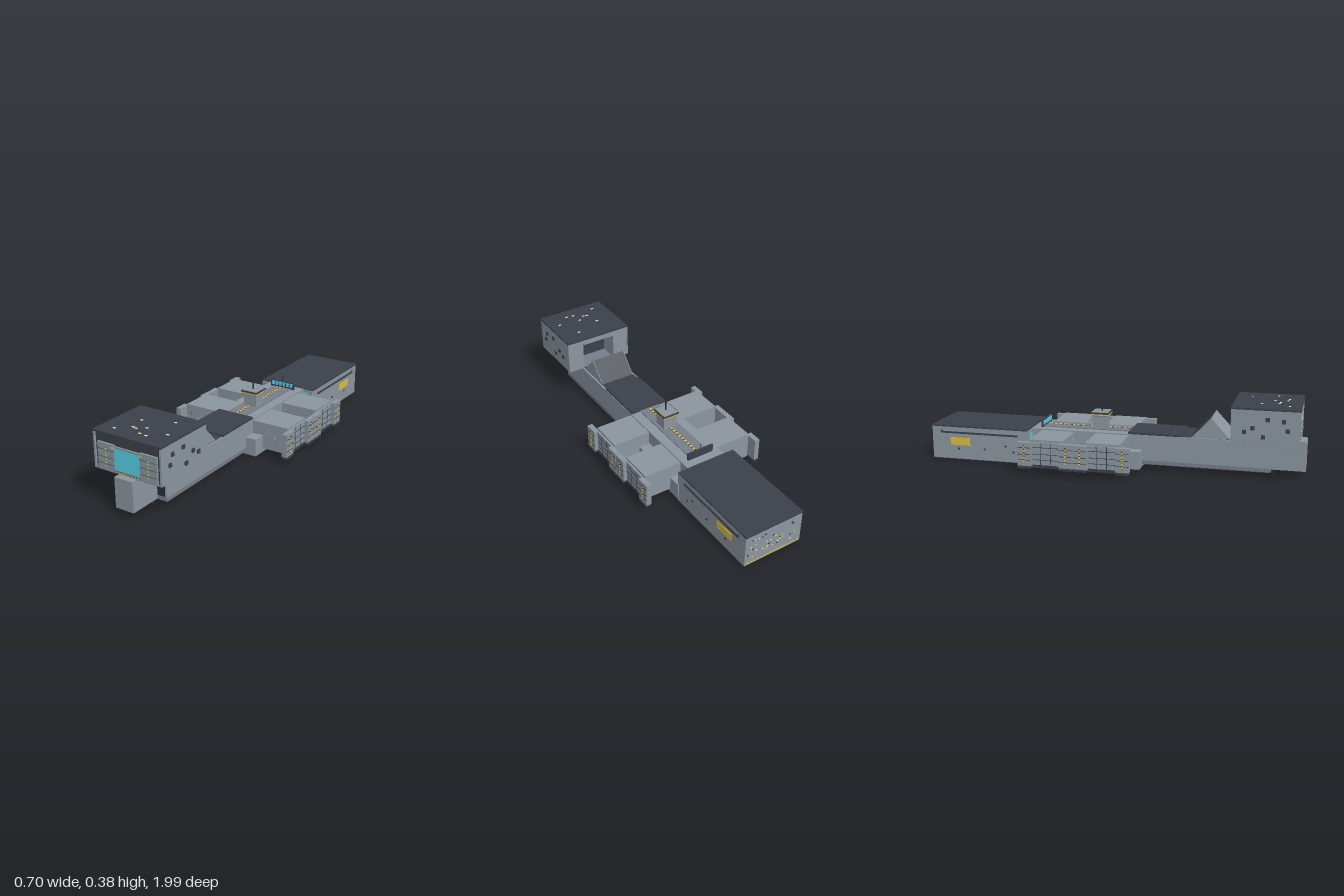
import * as THREE from 'three';

const mat = (name, color) => {
  const m = new THREE.MeshStandardMaterial({ color });
  m.name = name;
  return m;
};

export function createModel() {
  const root = new THREE.Group();
  root.name = 'spaceship';
  const grey = mat('hullGrey', 0x8b959f);
  const trim = mat('trimGrey', 0x767e89);
  const belly = mat('bellyGrey', 0x535962);
  const dark = mat('roofDark', 0x3b404a);
  const black = mat('recessBlack', 0x2c2e33);
  const yellow = mat('markingYellow', 0xdabd40);
  const cyan = mat('windowCyan', 0x55d2e8);
  const beige = mat('lightBeige', 0xf0e2a4);

  let part = root;
  const section = (name) => {
    part = new THREE.Group();
    part.name = name;
    root.add(part);
  };
  // Box given by its limits on each axis
  const box = (name, m, x0, x1, y0, y1, z0, z1) => {
    const mesh = new THREE.Mesh(new THREE.BoxGeometry(x1 - x0, y1 - y0, z1 - z0), m);
    mesh.position.set((x0 + x1) / 2, (y0 + y1) / 2, (z0 + z1) / 2);
    mesh.name = name;
    part.add(mesh);
    return mesh;
  };
  // The same box on both sides
  const pair = (name, m, x0, x1, ...r) => {
    box(name, m, x0, x1, ...r);
    box(name, m, -x1, -x0, ...r);
  };
  let seed = 7;
  const rand = (a, b) => {
    seed = (seed * 16807) % 2147483647;
    return a + (b - a) * (seed / 2147483647);
  };

  // Long neck hull and nose beam
  section('neck');
  box('neckHull', grey, -0.11, 0.11, 0.05, 0.185, -0.44, 0.825);
  box('neckKeel', trim, -0.11, 0.11, 0.031, 0.05, -0.44, 0.83);
  box('neckBelly', belly, -0.109, 0.109, 0.028, 0.031, 0.165, 0.829);
  box('noseBeam', grey, -0.052, 0.052, 0.03, 0.185, 0.82, 1.0);
  pair('frontRecess', black, 0.052, 0.1, 0.05, 0.185, 0.82, 0.828);
  pair('frontRecessFrame', grey, 0.1, 0.11, 0.05, 0.185, 0.82, 0.832);
  pair('landingPeg', black, 0.024, 0.035, 0, 0.03, 0.83, 0.842);
  pair('rearPeg', black, 0.024, 0.035, 0, 0.03, -0.222, -0.21);
  box('neckDeck', dark, -0.107, 0.107, 0.184, 0.195, 0.09, 0.37);
  box('neckDeckFront', dark, -0.1, 0.1, 0.184, 0.188, 0.37, 0.63);

  // Wedge ramp behind the head
  section('ramp');
  const wedge = new THREE.Shape([[0.42, 0.185], [0.52, 0.292], [0.62, 0.185]].map(([z, y]) => new THREE.Vector2(-z, y)));
  const wedgeMesh = new THREE.Mesh(new THREE.ExtrudeGeometry(wedge, { depth: 0.2, bevelEnabled: false }), grey);
  wedgeMesh.rotation.y = Math.PI / 2;
  wedgeMesh.position.x = -0.1;
  wedgeMesh.name = 'rampBody';
  part.add(wedgeMesh);
  const plate = box('rampPlate', dark, -0.096, 0.096, -0.003, 0.003, -0.073, 0.073);
  plate.position.set(0, 0.2385, 0.47);
  plate.rotation.x = -Math.atan2(0.107, 0.1);

  // Head with a rear opening
  section('head');
  box('headCore', grey, -0.186, 0.186, 0.187, 0.366, 0.75, 0.955);
  pair('headSide', grey, 0.185, 0.194, 0.185, 0.368, 0.63, 0.968);
  pair('headRearWall', grey, 0.098, 0.186, 0.185, 0.368, 0.632, 0.76);
  box('headRearLintel', grey, -0.1, 0.1, 0.335, 0.368, 0.632, 0.76);
  box('headRearDoor', dark, -0.098, 0.098, 0.187, 0.335, 0.744, 0.75);
  box('headFloor', trim, -0.19, 0.19, 0.183, 0.19, 0.632, 0.966);
  box('headRoof', dark, -0.195, 0.195, 0.367, 0.376, 0.628, 0.97);
  box('headFront', dark, -0.185, 0.185, 0.19, 0.367, 0.953, 0.959);
  pair('shutter', grey, 0.073, 0.17, 0.187, 0.322, 0.958, 0.969);
  box('windowSill', trim, -0.073, 0.073, 0.187, 0.2, 0.958, 0.968);
  box('windowLintel', grey, -0.073, 0.073, 0.305, 0.316, 0.958, 0.967);
  box('frontWindow', cyan, -0.073, 0.073, 0.199, 0.306, 0.958, 0.968);
  for (const y of [0.219, 0.252, 0.289]) pair('shutterGroove', dark, 0.074, 0.169, y, y + 0.002, 0.968, 0.9698);
  pair('shutterSeam', dark, 0.1205, 0.1235, 0.205, 0.3, 0.968, 0.97);
  for (let i = 0; i < 6; i++) pair('shutterDash', yellow, 0.1195, 0.1245, 0.206 + i * 0.016, 0.217 + i * 0.016, 0.968, 0.971);
  pair('cornerLamp', yellow, 0.077, 0.088, 0.302, 0.312, 0.968, 0.971);
  box('sillStripe', dark, -0.073, 0.073, 0.19, 0.196, 0.967, 0.969);
  for (let i = 0; i < 8; i++) box('sillDash', yellow, -0.07 + i * 0.018, -0.057 + i * 0.018, 0.191, 0.195, 0.967, 0.971);
  for (const [z, y] of [[0.908, 0.27], [0.888, 0.316], [0.81, 0.322], [0.79, 0.234], [0.737, 0.277], [0.697, 0.256]])
    pair('sidePort', dark, 0.193, 0.2, y - 0.01, y + 0.01, z - 0.01, z + 0.01);
  for (const [x, z] of [[0.08, 0.71], [-0.07, 0.77], [0.01, 0.83], [0.135, 0.84], [-0.05, 0.855], [-0.03, 0.86], [0.06, 0.9], [0.02, 0.895], [-0.115, 0.91]])
    box('roofLight', beige, x - 0.008, x + 0.008, 0.375, 0.3775, z - 0.005, z + 0.005);

  // Middle body and spine
  section('body');
  box('lowerHull', grey, -0.17, 0.17, 0.015, 0.108, -0.45, 0.165);
  box('lowerHullBelly', belly, -0.168, 0.168, 0.012, 0.015, -0.45, 0.163);
  box('spineDeck', trim, -0.056, 0.056, 0.184, 0.19, -0.385, 0.09);
  box('spineSeam', dark, -0.006, 0.006, 0.189, 0.191, -0.375, 0.085);
  for (let i = 0; i < 18; i++) box('spineDash', yellow, -0.006, 0.006, 0.189, 0.1925, -0.37 + i * 0.0255, -0.354 + i * 0.0255);

  // Four side pods with end brackets
  section('pods');
  for (const [z0, z1] of [[-0.38, -0.2], [-0.085, 0.095]]) {
    pair('pod', grey, 0.055, 0.317, 0.035, 0.179, z0, z1);
    pair('podEndPanel', grey, 0.317, 0.328, 0.05, 0.168, z0 + 0.02, z1 - 0.02);
    pair('podFoot', dark, 0.312, 0.33, 0.034, 0.05, z0 + 0.02, z1 - 0.02);
    for (const y of [0.075, 0.105, 0.14]) pair('podGroove', dark, 0.327, 0.329, y, y + 0.003, z0 + 0.02, z1 - 0.02);
    for (const k of [0.35, 0.65]) {
      const z = z0 + k * (z1 - z0);
      pair('podSeam', dark, 0.327, 0.329, 0.05, 0.168, z - 0.0015, z + 0.0015);
    }
    for (let i = 0; i < 7; i++) {
      const x = rand(0.13, 0.3), y = rand(0.06, 0.15);
      pair('podLight', i % 2 ? dark : beige, x, x + 0.005, y, y + 0.004, z1 - 0.001, z1 + 0.002);
    }
  }
  for (const z of [-0.4, -0.18, -0.105, 0.115]) {
    pair('bracket', grey, 0.318, 0.346, 0.045, 0.169, z - 0.036, z + 0.036);
    pair('bracketFoot', dark, 0.318, 0.348, 0.032, 0.045, z - 0.034, z + 0.034);
    for (const y of [0.075, 0.105, 0.14]) pair('bracketGroove', dark, 0.345, 0.3475, y, y + 0.003, z - 0.034, z + 0.034);
    pair('bracketSeam', dark, 0.345, 0.3475, 0.06, 0.155, z - 0.003, z + 0.003);
    for (let i = 0; i < 5; i++) pair('bracketDash', yellow, 0.345, 0.349, 0.065 + i * 0.018, 0.076 + i * 0.018, z - 0.0035, z + 0.0035);
  }

  // Command tower with antenna
  section('tower');
  box('towerShaft', grey, -0.038, 0.038, 0.19, 0.255, -0.12, -0.045);
  box('towerCapBase', trim, -0.044, 0.044, 0.253, 0.26, -0.127, -0.037);
  box('towerBand', yellow, -0.047, 0.047, 0.259, 0.266, -0.13, -0.034);
  box('towerCap', dark, -0.048, 0.048, 0.266, 0.274, -0.131, -0.033);
  box('towerCapTop', grey, -0.043, 0.043, 0.273, 0.277, -0.126, -0.038);
  const mast = (name, r, y0, y1, z) => {
    const m = new THREE.Mesh(new THREE.CylinderGeometry(r, r, y1 - y0, 8), black);
    m.position.set(0, (y0 + y1) / 2, z);
    m.name = name;
    part.add(m);
  };
  mast('antenna', 0.004, 0.275, 0.34, -0.078);

  // Signal screen standing before the stern
  section('signalScreen');
  box('screenPanel', dark, -0.075, 0.075, 0.18, 0.226, -0.397, -0.387);
  pair('screenLeg', dark, 0.03, 0.037, 0.1, 0.18, -0.395, -0.388);
  for (let i = 0; i < 6; i++) box('screenWindow', cyan, -0.067 + i * 0.023, -0.05 + i * 0.023, 0.197, 0.22, -0.388, -0.384);
  mast('screenMast', 0.002, 0.2, 0.255, -0.392);

  // Stern block
  section('stern');
  box('sternHull', grey, -0.165, 0.165, 0.004, 0.18, -0.99, -0.44);
  box('sternRoof', dark, -0.166, 0.166, 0.179, 0.186, -0.993, -0.445);
  box('sternBelly', belly, -0.164, 0.164, 0.001, 0.004, -0.989, -0.44);
  box('sternFrontWindow', cyan, -0.14, 0.14, 0.135, 0.165, -0.442, -0.436);
  pair('sternRail', dark, 0.164, 0.171, 0.145, 0.154, -0.94, -0.5);
  pair('sternPatch', yellow, 0.164, 0.168, 0.08, 0.122, -0.885, -0.773);
  for (const [z, y] of [[-0.525, 0.06], [-0.57, 0.09], [-0.69, 0.065], [-0.84, 0.06], [-0.935, 0.155]])
    pair('sternPort', dark, 0.164, 0.167, y - 0.005, y + 0.005, z - 0.005, z + 0.005);
  for (let i = 0; i < 36; i++) {
    const x = rand(-0.15, 0.145), y = rand(0.035, 0.155);
    box('sternLight', [dark, yellow, beige][i % 3], x, x + 0.008, y, y + 0.006, -0.993, -0.989);
  }
  for (let i = 0; i < 16; i++) box('sternDash', yellow, -0.155 + i * 0.0195, -0.142 + i * 0.0195, 0.009, 0.015, -0.993, -0.989);

  return root;
}
